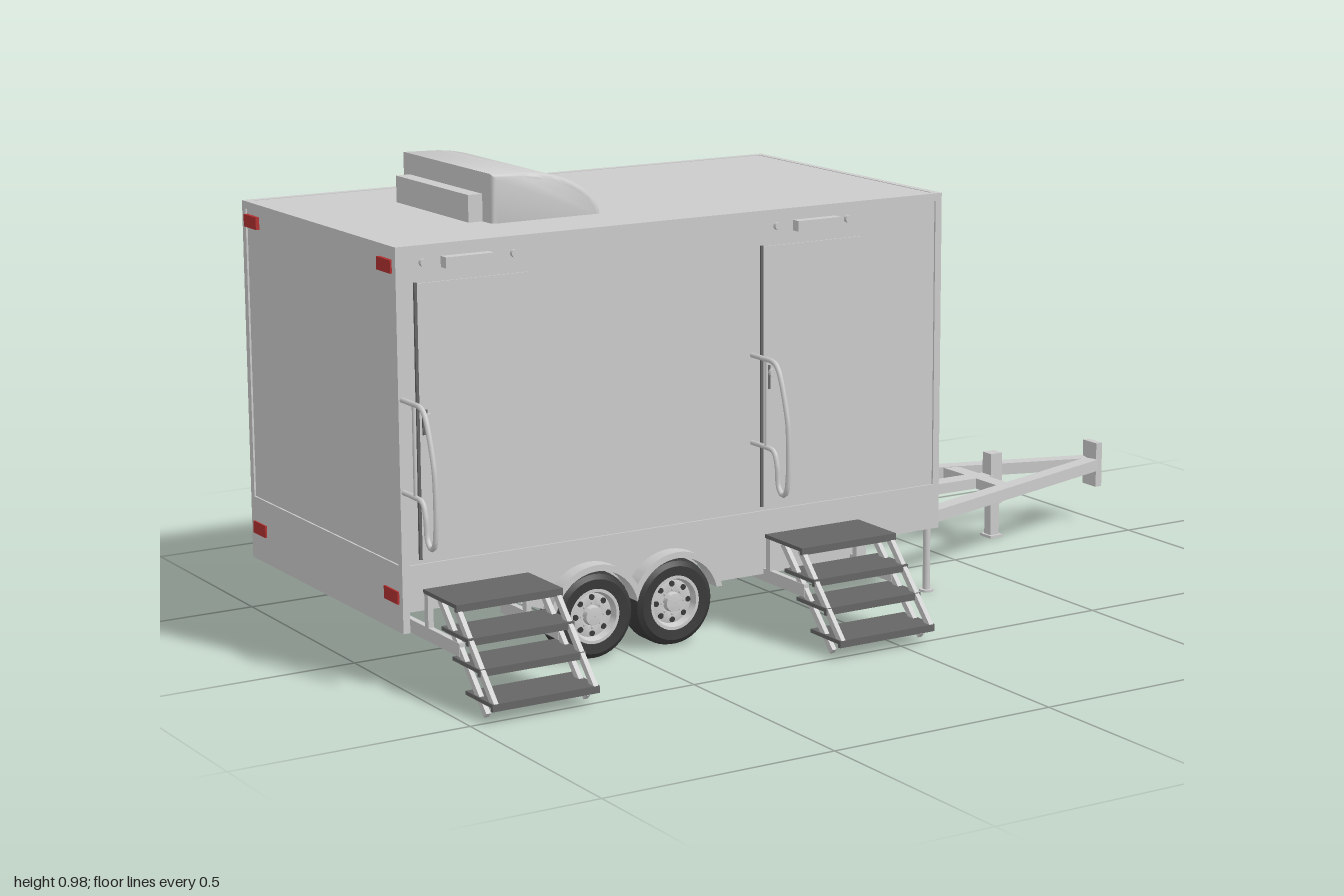
import * as THREE from 'three';
import { toCreasedNormals } from 'three/addons/utils/BufferGeometryUtils.js';

const mat = (color) => new THREE.MeshStandardMaterial({ color });
const GREY = mat(0xcccccc), DARK = mat(0x666666), BLACK = mat(0x3a3a3a), RED = mat(0xb03030);
const MID = -0.13; // centre plane of the trailer in z
const AXLES = [-0.58, -0.39], WHEEL_Y = 0.092;
const V = (x, y, z) => new THREE.Vector3(x, y, z);

export function createModel() {
  const root = new THREE.Group();

  const add = (name, geo, m = GREY, parent = root) => {
    const mesh = new THREE.Mesh(geo, m);
    mesh.name = name;
    parent.add(mesh);
    return mesh;
  };
  // box given by its limits
  const box = (name, x0, x1, y0, y1, z0, z1, m, parent) => {
    const mesh = add(name, new THREE.BoxGeometry(x1 - x0, y1 - y0, z1 - z0), m, parent);
    mesh.position.set((x0 + x1) / 2, (y0 + y1) / 2, (z0 + z1) / 2);
    return mesh;
  };
  // rectangular bar between two points
  const beam = (name, a, b, w, h, m, parent) => {
    const mesh = add(name, new THREE.BoxGeometry(w, h, a.distanceTo(b)), m, parent);
    mesh.position.copy(a).lerp(b, 0.5);
    mesh.lookAt(b);
    return mesh;
  };
  // round bar between two points
  const rod = (name, a, b, r, m, parent, sides = 16) => {
    const geo = new THREE.CylinderGeometry(r, r, a.distanceTo(b), sides).rotateX(Math.PI / 2);
    const mesh = add(name, geo, m, parent);
    mesh.position.copy(a).lerp(b, 0.5);
    mesh.lookAt(b);
    return mesh;
  };
  const extrude = (name, shape, depth, z, opts = {}) => {
    const geo = new THREE.ExtrudeGeometry(shape, { depth, bevelEnabled: false, curveSegments: 16, ...opts });
    const mesh = add(name, toCreasedNormals(geo, 0.6));
    mesh.position.z = z;
    return mesh;
  };

  // cabin: slightly inset walls with trim along every edge
  const X0 = -1, X1 = 0.29, Y0 = 0.235, Y1 = 0.885, Z0 = -0.485, Z1 = 0.225, T = 0.016, I = 0.004;
  box('cabin', X0 + I, X1 - I, Y0, Y1 - 0.001, Z0 + I, Z1 - I);
  for (const y of [Y0, Y1 - T]) {
    for (const z of [Z0, Z1 - T]) box('longTrim', X0, X1, y, y + T, z, z + T);
    for (const x of [X0, X1 - T]) box('endTrim', x, x + T, y, y + T, Z0, Z1);
  }
  for (const x of [X0, X1 - T]) for (const z of [Z0, Z1 - T]) box('cornerTrim', x, x + T, Y0, Y1, z, z + T);

  // floor and skirt
  box('floor', X0 + 0.01, X1, 0.153, Y0, -0.4, 0.14);
  for (const [z0, z1] of [[Z0 + 0.012, -0.4], [0.14, Z1 - 0.012]]) {
    box('rearFloorSide', X0 + 0.01, -0.69, 0.153, Y0, z0, z1);
    box('frontFloorSide', -0.28, X1, 0.153, Y0, z0, z1);
  }
  for (const z of [-0.484, 0.135]) box('skirtEnd', 0.085, 0.1, 0.115, 0.155, z, z + 0.089);
  box('rearSkirt', X0, X0 + 0.015, 0.115, Y0, Z0, Z1);
  const skirt = new THREE.Shape();
  const lift = Math.asin((0.115 - WHEEL_Y) / 0.1), meet = Math.acos(0.095 / 0.1);
  skirt.moveTo(X0, 0.115);
  skirt.absarc(AXLES[0], WHEEL_Y, 0.1, Math.PI - lift, meet, true);
  skirt.absarc(AXLES[1], WHEEL_Y, 0.1, Math.PI - meet, lift, true);
  for (const p of [[0.1, 0.115], [0.1, 0.153], [X1, 0.153], [X1, Y0], [X0, Y0]]) skirt.lineTo(...p);
  for (const z of [Z0, Z1 - 0.014]) extrude('sideSkirt', skirt, 0.014, z);

  // double-arched fenders
  const fender = new THREE.Shape();
  const R = 0.11, r = 0.097;
  const aR = Math.asin(0.023 / R), ar = Math.asin(0.023 / r);
  const mR = Math.acos(0.095 / R), mr = Math.acos(0.095 / r);
  fender.absarc(AXLES[0], WHEEL_Y, R, Math.PI - aR, mR, true);
  fender.absarc(AXLES[1], WHEEL_Y, R, Math.PI - mR, aR, true);
  fender.absarc(AXLES[1], WHEEL_Y, r, ar, Math.PI - mr, false);
  fender.absarc(AXLES[0], WHEEL_Y, r, mr, Math.PI - ar, false);
  for (const z of [Z0 - 0.033, Z1 - 0.004]) extrude('fender', fender, 0.037, z);

  // wheels, built facing +z
  const tyre = [[0.056, -0.038], [0.078, -0.04], [0.088, -0.033], [0.092, -0.02], [0.092, 0.02],
    [0.088, 0.033], [0.078, 0.04], [0.058, 0.038], [0.055, 0.03], [0.055, -0.03], [0.056, -0.038]];
  const lathe = (pts) => toCreasedNormals(new THREE.LatheGeometry(
    pts.map(([a, b]) => new THREE.Vector2(a, b)), 40).rotateX(Math.PI / 2), 0.6);
  const rim = [[0.001, -0.03], [0.055, -0.03], [0.058, 0.037], [0.051, 0.037], [0.046, 0.022],
    [0.03, 0.026], [0.021, 0.024], [0.019, 0.036], [0.001, 0.038]];
  const makeWheel = (x, side) => {
    const wheel = new THREE.Group();
    wheel.name = 'wheel';
    add('tyre', lathe(tyre), BLACK, wheel);
    add('rim', lathe(rim), GREY, wheel);
    for (let i = 0; i < 8; i++) {
      const a = i * Math.PI / 4, at = (d, z) => V(Math.cos(a) * d, Math.sin(a) * d, z);
      rod('rimHole', at(0.038, 0.018), at(0.038, 0.0262), 0.006, BLACK, wheel);
      rod('wheelNut', at(0.026, 0.02), at(0.026, 0.031), 0.003, GREY, wheel, 6);
    }
    wheel.position.set(x, WHEEL_Y, MID + side * 0.34);
    if (side < 0) wheel.rotation.y = Math.PI;
    root.add(wheel);
  };
  for (const x of AXLES) {
    for (const side of [1, -1]) makeWheel(x, side);
    rod('axle', V(x, WHEEL_Y, MID - 0.32), V(x, WHEEL_Y, MID + 0.32), 0.009);
  }

  // chassis rails and drawbar
  for (const s of [1, -1]) {
    box('chassisRail', -0.92, 0.2, 0.122, 0.154, MID + s * 0.22 - 0.016, MID + s * 0.22 + 0.016);
    beam('drawbarArm', V(0.12, 0.138, MID + s * 0.29), V(0.98, 0.138, MID + s * 0.012), 0.036, 0.027);
  }
  for (const x of [-0.92, -0.72, -0.22]) box('crossMember', x, x + 0.03, 0.124, 0.154, MID - 0.22, MID + 0.22);
  box('centreBeam', 0.2, 0.64, 0.126, 0.15, MID - 0.022, MID + 0.022);
  box('drawbarCrossbar', 0.635, 0.672, 0.126, 0.15, MID - 0.115, MID + 0.115);
  box('couplingPlate', 0.983, 1, 0.085, 0.19, MID - 0.025, MID + 0.025);
  box('jackBracket', 0.665, 0.69, 0.126, 0.15, MID - 0.018, MID + 0.018);
  box('jackTube', 0.682, 0.714, 0.08, 0.2, MID - 0.016, MID + 0.016);
  box('jackLeg', 0.686, 0.71, 0, 0.09, MID - 0.012, MID + 0.012);
  box('jackFoot', 0.68, 0.716, 0, 0.006, MID - 0.02, MID + 0.02);

  // front stabilising legs
  for (const s of [1, -1]) {
    const z = MID + s * 0.308;
    rod('stabiliser', V(0.293, 0, z), V(0.293, 0.235, z), 0.008);
    rod('stabiliserFoot', V(0.293, 0, z), V(0.293, 0.005, z), 0.016);
  }

  // folding steps and handrails
  const treads = [[0.2, 0.305, 0.14], [0.143, 0.365, 0.11], [0.093, 0.41, 0.11], [0.037, 0.462, 0.11]];
  const rail = new THREE.CatmullRomCurve3([[0.22, 0.585], [0.26, 0.585], [0.305, 0.583], [0.321, 0.57],
    [0.352, 0.485], [0.358, 0.45], [0.358, 0.35], [0.35, 0.318], [0.337, 0.311], [0.322, 0.325],
    [0.316, 0.37], [0.304, 0.396], [0.27, 0.4], [0.22, 0.4]].map(([z, y]) => V(0, y, z)));
  for (const [x0, x1, railX] of [[-0.96, -0.725, -0.992], [-0.162, 0.073, -0.185]]) {
    for (const [y, z, d] of treads) {
      box('stepTread', x0, x1, y - 0.005, y + 0.003, z - d / 2, z + d / 2, DARK);
      box('stepNosing', x0, x1, y - 0.012, y + 0.003, z + d / 2 - 0.008, z + d / 2, DARK);
    }
    for (const x of [x0 + 0.008, x1 - 0.008]) {
      beam('stepStringer', V(x, 0.195, 0.295), V(x, 0.008, 0.48), 0.01, 0.014);
      beam('stepBrace', V(x, 0.195, 0.36), V(x, 0.035, 0.512), 0.01, 0.014);
      box('stepBracket', x - 0.006, x + 0.006, 0.1, 0.127, 0.14, 0.38);
      box('stepHanger', x - 0.006, x + 0.006, 0.115, 0.2, 0.235, 0.25);
    }
    const tube = add('handrail', new THREE.TubeGeometry(rail, 70, 0.0055, 8));
    tube.position.x = railX;
    rod('handrailBar', V(railX, 0.4, 0.275), V(railX, 0.585, 0.275), 0.004);
  }

  // doors with hinge, handle and lamp
  for (const dx of [-0.955, -0.16]) {
    box('door', dx, dx + 0.245, 0.26, 0.81, 0.215, 0.224);
    box('doorSeam', dx - 0.006, dx, 0.26, 0.812, 0.215, 0.226, DARK);
    rod('doorKnob', V(dx + 0.018, 0.545, 0.22), V(dx + 0.018, 0.545, 0.236), 0.008);
    box('lockPlate', dx + 0.006, dx + 0.016, 0.51, 0.56, 0.22, 0.228, DARK);
    const lx = dx < -0.5 ? -0.9 : -0.085;
    const lamp = new THREE.Shape();
    lamp.moveTo(0, 0.837).lineTo(0.022, 0.837).lineTo(0.022, 0.85);
    lamp.quadraticCurveTo(0.018, 0.858, 0.008, 0.859).lineTo(0, 0.859);
    const lampMesh = extrude('doorLamp', lamp, 0.105, 0.221);
    lampMesh.rotation.y = -Math.PI / 2;
    lampMesh.scale.z = -1;
    lampMesh.geometry.rotateY(Math.PI).translate(0.022, 0, 0.105);
    lampMesh.removeFromParent();
    box('doorLamp', lx, lx + 0.105, 0.837, 0.859, 0.218, 0.243);
  }

  // round marker lights and rivets
  for (const x of [-0.94, -0.74, -0.125, 0.05]) rod('frontMarker', V(x, 0.85, 0.218), V(x, 0.85, 0.23), 0.008);
  for (const x of [-0.74, -0.12]) rod('backMarker', V(x, 0.85, -0.478), V(x, 0.85, -0.49), 0.008);
  for (const y of [0.27, 0.845]) for (const s of [1, -1]) {
    rod('endMarker', V(0.28, y, MID + s * 0.31), V(0.294, y, MID + s * 0.31), 0.008);
  }
  for (const y of [0.185, 0.845]) for (const s of [1, -1]) {
    const z = MID + s * 0.31;
    box('tailLight', -1.004, -0.99, y - 0.013, y + 0.013, z - 0.03, z + 0.03, RED);
  }

  // roof air conditioner with a rounded nose
  const cover = new THREE.Shape();
  cover.moveTo(-0.695, 0.88).lineTo(-0.695, 0.973).lineTo(-0.63, 0.971);
  cover.bezierCurveTo(-0.55, 0.966, -0.475, 0.935, -0.463, 0.88);
  extrude('airConditioner', cover, 0.375, -0.315,
    { bevelEnabled: true, bevelSize: 0.011, bevelThickness: 0.011, bevelSegments: 4 });
  box('airConditionerVent', -0.738, -0.7, 0.88, 0.94, -0.29, 0.03);

  return root;
}
